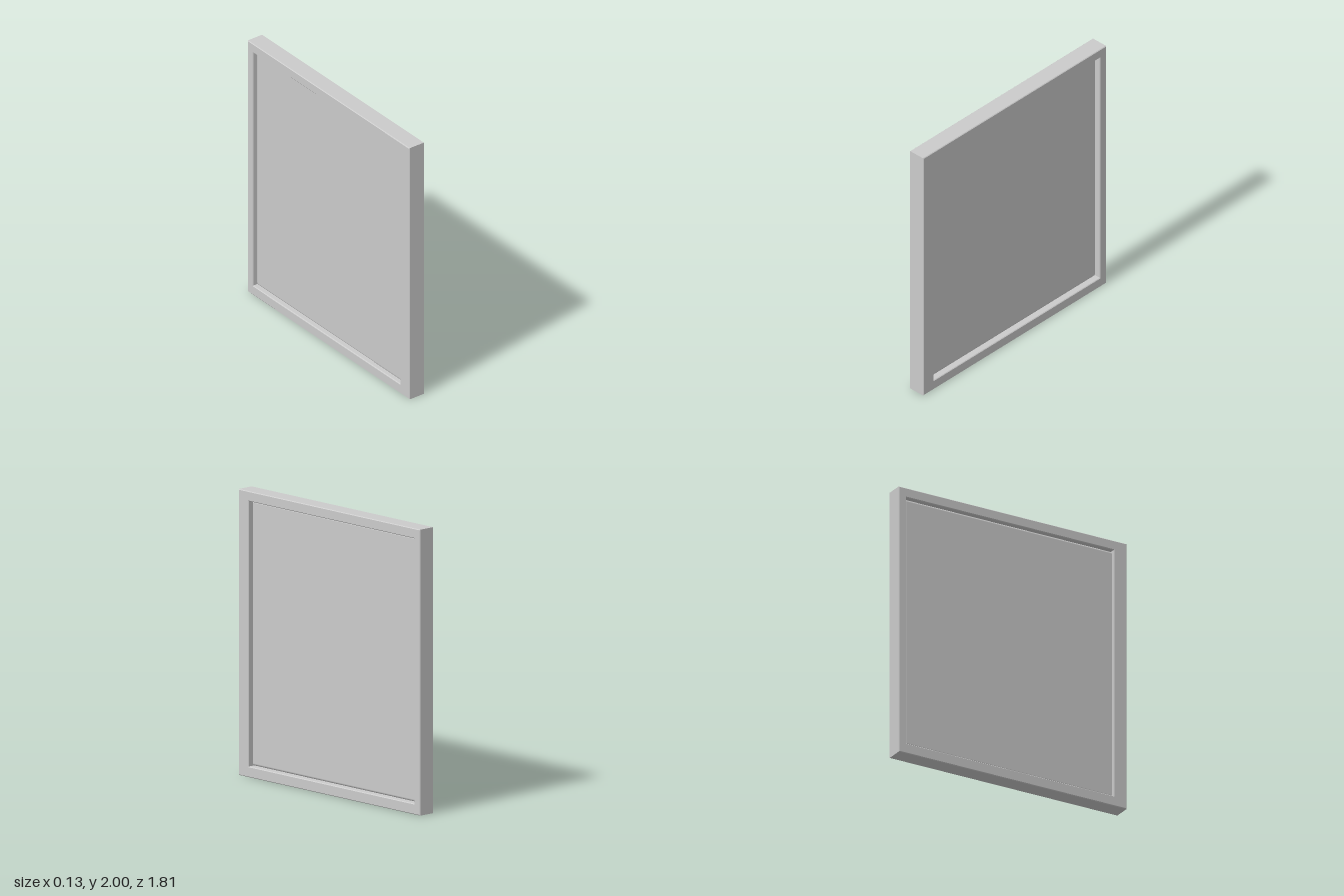
import * as THREE from 'three';
import { RoundedBoxGeometry } from 'three/addons/geometries/RoundedBoxGeometry.js';

const HEIGHT = 2, WIDTH = 1.814, THICK = 0.13, EDGE = 0.005;

// Rectangle outline from corner coordinates
function rect(path, x0, y0, x1, y1) {
  path.moveTo(x0, y0);
  path.lineTo(x1, y0);
  path.lineTo(x1, y1);
  path.lineTo(x0, y1);
  path.closePath();
  return path;
}

export function createModel() {
  const group = new THREE.Group();
  group.name = 'framedPanel';
  const material = new THREE.MeshStandardMaterial({ color: 0xcccccc });

  // Frame: drawn with shape x = -z, one stile wider than the other, edges softened
  const outline = rect(new THREE.Shape(), -WIDTH / 2, 0, WIDTH / 2, HEIGHT);
  outline.holes.push(rect(new THREE.Path(), -0.805, 0.075, 0.847, 1.93));
  const frameGeometry = new THREE.ExtrudeGeometry(outline, {
    depth: THICK - 2 * EDGE,
    bevelEnabled: true,
    bevelThickness: EDGE,
    bevelSize: EDGE,
    bevelOffset: -EDGE,
    bevelSegments: 1,
  });
  frameGeometry.translate(0, 0, -THICK / 2 + EDGE);
  frameGeometry.rotateY(Math.PI / 2);
  const frame = new THREE.Mesh(frameGeometry, material);
  frame.name = 'frame';
  group.add(frame);

  // Inset panel: rounded edges on three sides, the fourth slots into the wide stile
  const front = 0.025, back = -0.037, zBack = -0.847, zFront = 0.825;
  const panel = new THREE.Mesh(
    new RoundedBoxGeometry(front - back, 1.93 - 0.075, zFront - zBack, 4, 0.018),
    material
  );
  panel.name = 'panel';
  panel.position.set((front + back) / 2, (1.93 + 0.075) / 2, (zFront + zBack) / 2);
  group.add(panel);

  return group;
}
